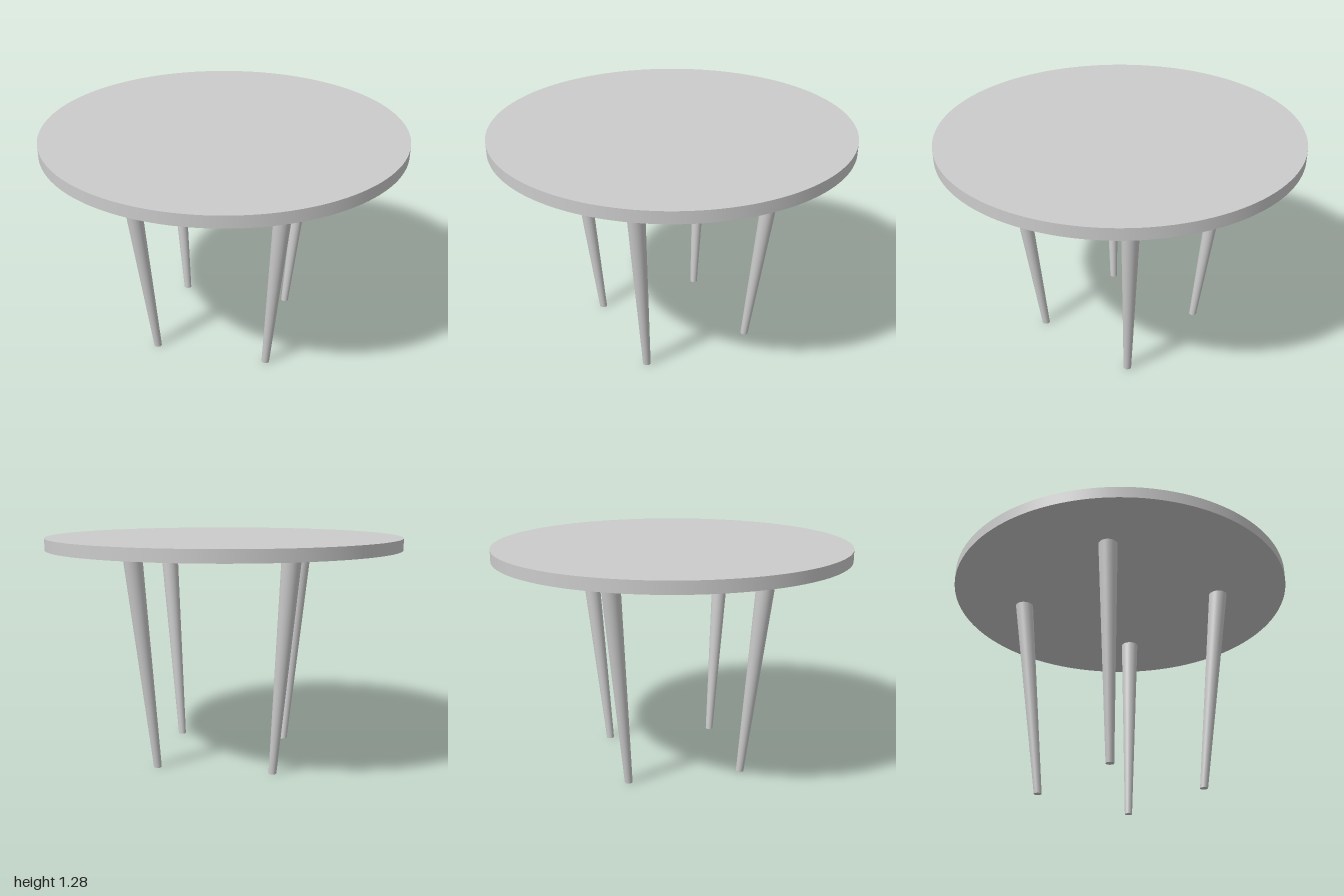
import * as THREE from 'three';

const TOP_Y = 1.283, UNDER_Y = 1.218;

export function createModel() {
  const table = new THREE.Group();
  table.name = 'roundTable';
  const material = new THREE.MeshStandardMaterial({ color: 0xcccccc });

  // Round tabletop
  const thickness = TOP_Y - UNDER_Y;
  const tabletop = new THREE.Mesh(new THREE.CylinderGeometry(1, 1, thickness, 128), material);
  tabletop.name = 'tabletop';
  tabletop.position.y = UNDER_Y + thickness / 2;
  table.add(tabletop);

  // Tapered leg, sheared inward towards the foot so both ends stay level
  const footX = 0.461, headX = 0.598;
  const legGeometry = new THREE.CylinderGeometry(0.053, 0.022, UNDER_Y, 32);
  legGeometry.translate(0, UNDER_Y / 2, 0);
  const slope = (headX - footX) / UNDER_Y;
  legGeometry.applyMatrix4(new THREE.Matrix4().set(
    1, slope, 0, footX,
    0, 1, 0, 0,
    0, 0, 1, 0,
    0, 0, 0, 1
  ));

  // Four legs, one on each axis
  ['leftLeg', 'backLeg', 'rightLeg', 'frontLeg'].forEach((name, i) => {
    const leg = new THREE.Mesh(legGeometry, material);
    leg.name = name;
    leg.rotation.y = i * Math.PI / 2;
    table.add(leg);
  });

  return table;
}
